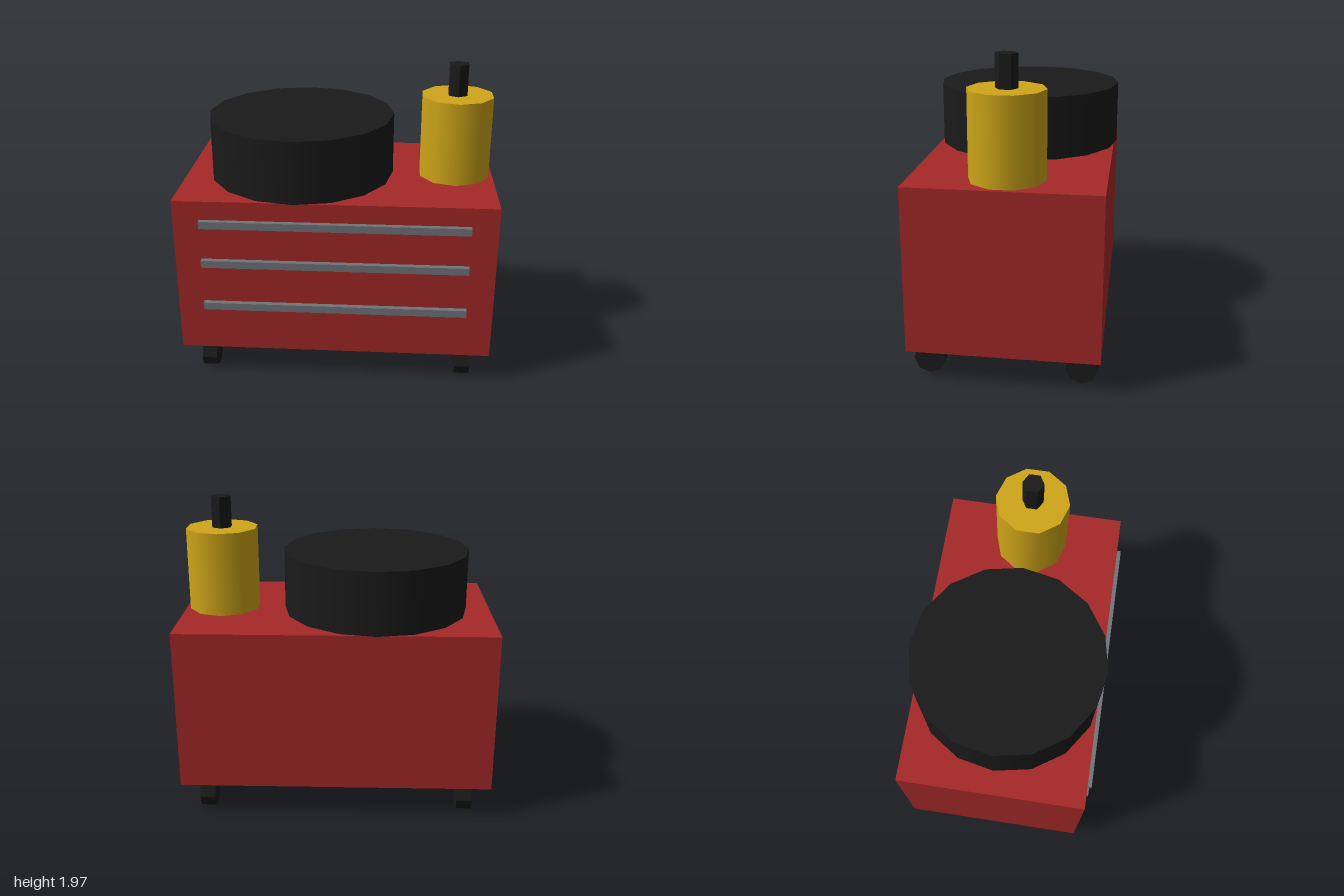
import * as THREE from 'three';

export function createModel() {
  const group = new THREE.Group();
  const material = (name, color) => {
    const m = new THREE.MeshStandardMaterial({ color });
    m.name = name;
    return m;
  };
  const red = material('red paint', 0xa52828);
  const darkRed = material('dark red underside', 0x520808);
  const black = material('black rubber', 0x1a1a1a);
  const yellow = material('yellow can', 0xcfa519);
  const grey = material('grey metal', 0x70757a);

  const midZ = -0.01;
  const add = (name, geometry, mat, x, y, z) => {
    const mesh = new THREE.Mesh(geometry, mat);
    mesh.name = name;
    mesh.position.set(x, y, z);
    group.add(mesh);
  };
  // Cylinder with hard edges between its sides
  const faceted = (radius, height, sides) => {
    const geometry = new THREE.CylinderGeometry(radius, radius, height, sides).toNonIndexed();
    geometry.computeVertexNormals();
    return geometry;
  };

  // Cabinet with a darker underside
  const bottom = 0.2, top = 1.235, depth = 1.17;
  add('cabinet', new THREE.BoxGeometry(2, top - bottom, depth),
    [red, red, red, darkRed, red, red], 0, (top + bottom) / 2, midZ);

  // Drawer handles, half sunk into the front face
  const handle = new THREE.BoxGeometry(1.667, 0.048, 0.066);
  [1.09, 0.823, 0.523].forEach((y, i) =>
    add(`drawerHandle${i + 1}`, handle, grey, 0, y, midZ + depth / 2));

  // Caster wheels with their axles along x
  const wheel = faceted(0.1, 0.097, 8).rotateZ(Math.PI / 2);
  for (const sx of [-1, 1])
    for (const sz of [-1, 1])
      add(`${sz > 0 ? 'front' : 'back'}${sx > 0 ? 'Left' : 'Right'}Wheel`,
        wheel, black, sx * 0.833, 0.1, midZ + sz * 0.467);

  // Tyre lying on the cabinet
  add('tyre', new THREE.CylinderGeometry(0.6, 0.6, 0.4, 16), black, -0.25, top + 0.2, midZ);

  // Spray can and its nozzle
  add('can', new THREE.CylinderGeometry(0.233, 0.233, 0.535, 10), yellow, 0.75, top + 0.2675, midZ);
  add('nozzle', faceted(0.067, 0.2, 6), black, 0.75, 1.87, midZ);

  return group;
}
